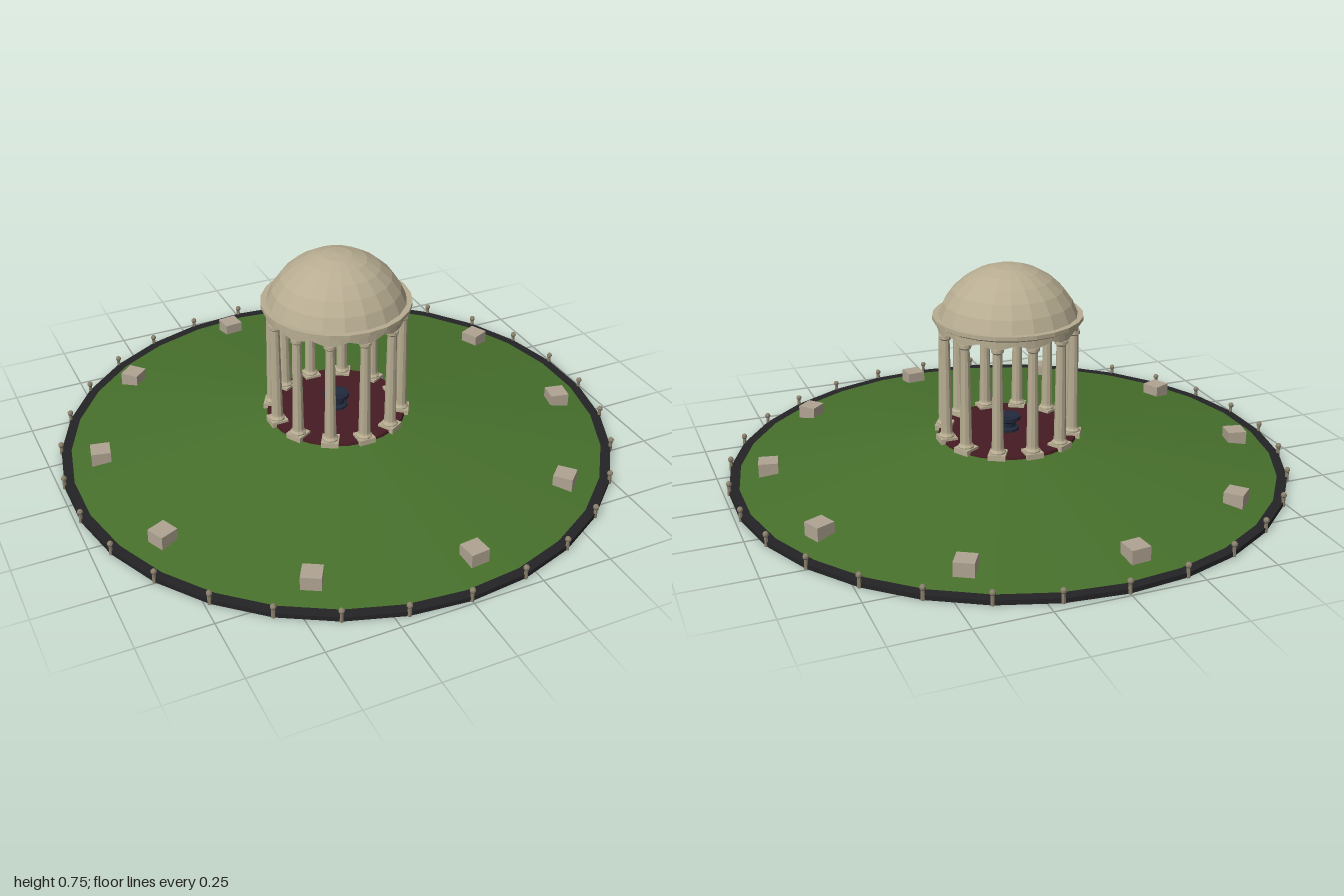
import * as THREE from 'three';

const mat = (color) => new THREE.MeshStandardMaterial({ color, flatShading: true, side: THREE.DoubleSide });
const V = (x, y) => new THREE.Vector2(x, y);

export function createModel() {
  const model = new THREE.Group();
  const stone = mat(0xb8ad92), grass = mat(0x47702c), dark = mat(0x242427);
  const red = mat(0x451c22), blue = mat(0x20283a), block = mat(0xb0a492), postMat = mat(0x8a806c);

  const add = (parent, name, geometry, material, x = 0, y = 0, z = 0) => {
    const mesh = new THREE.Mesh(geometry, material);
    mesh.name = name;
    mesh.position.set(x, y, z);
    parent.add(mesh);
    return mesh;
  };
  // Repeats a part around the vertical axis, its local +z pointing outward
  const ring = (name, count, radius, offset, build) => {
    for (let i = 0; i < count; i++) {
      const a = offset + (i / count) * Math.PI * 2;
      const g = new THREE.Group();
      g.name = name;
      g.position.set(Math.sin(a) * radius, 0, Math.cos(a) * radius);
      g.rotation.y = a;
      build(g);
      model.add(g);
    }
  };

  // Ground: dark rim disc, grassy cone, paved floor
  add(model, 'rimDisc', new THREE.CylinderGeometry(0.988, 0.988, 0.016, 30), dark, 0, 0.008, 0);
  add(model, 'hill', new THREE.CylinderGeometry(0.25, 0.972, 0.113, 30), grass, 0, 0.0695, 0);
  add(model, 'floor', new THREE.CylinderGeometry(0.247, 0.25, 0.012, 24), red, 0, 0.13, 0);

  // Boundary posts with round heads
  const postGeo = new THREE.CylinderGeometry(0.006, 0.007, 0.04, 6);
  const headGeo = new THREE.SphereGeometry(0.0105, 8, 5);
  ring('boundaryPost', 30, 0.987, 0, (g) => {
    add(g, 'postShaft', postGeo, postMat, 0, 0.02, 0);
    add(g, 'postHead', headGeo, postMat, 0, 0.042, 0);
  });

  // Stone seats on the grass
  const seatGeo = new THREE.BoxGeometry(0.068, 0.05, 0.068);
  ring('stoneSeat', 10, 0.848, THREE.MathUtils.degToRad(6), (g) => {
    add(g, 'seatBlock', seatGeo, block, 0, 0.05, 0);
  });

  // Columns: square plinth, turned base, tapered shaft, capital
  const plinthGeo = new THREE.BoxGeometry(0.06, 0.02, 0.06);
  const columnGeo = new THREE.LatheGeometry([
    V(0.027, 0.14), V(0.028, 0.15), V(0.022, 0.158), V(0.021, 0.165),
    V(0.016, 0.502), V(0.022, 0.508), V(0.022, 0.52), V(0, 0.52),
  ], 10);
  ring('column', 12, 0.23, 0, (g) => {
    add(g, 'plinth', plinthGeo, stone, 0, 0.135, 0);
    add(g, 'shaft', columnGeo, stone);
  });

  // Entablature: closed ring whose lower edge rises between the columns
  const arch = new THREE.LatheGeometry(
    [V(0.212, 0.515), V(0.246, 0.515), V(0.246, 0.552), V(0.212, 0.552), V(0.212, 0.515)], 48);
  const p = arch.attributes.position;
  for (let i = 0; i < p.count; i++) {
    if (p.getY(i) > 0.53) continue;
    const a = Math.atan2(p.getX(i), p.getZ(i));
    p.setY(i, 0.515 + 0.02 * Math.pow(Math.sin(a * 6), 2));
  }
  add(model, 'archRing', arch, stone);

  // Flared cornice
  add(model, 'cornice', new THREE.LatheGeometry([
    V(0.212, 0.548), V(0.248, 0.548), V(0.262, 0.556), V(0.262, 0.57), V(0.24, 0.57), V(0.212, 0.548),
  ], 24), stone);

  // Dome: cap of a sphere, open below
  const R = 0.257;
  add(model, 'dome', new THREE.SphereGeometry(R, 20, 6, 0, Math.PI * 2, 0, Math.acos(0.077 / R)),
    stone, 0, 0.745 - R, 0);

  // Central bowl on a pedestal
  add(model, 'bowl', new THREE.LatheGeometry([
    V(0.04, 0.135), V(0.04, 0.145), V(0.028, 0.15), V(0.028, 0.165),
    V(0.045, 0.175), V(0.045, 0.188), V(0.034, 0.188), V(0, 0.178),
  ], 12), blue);

  return model;
}
